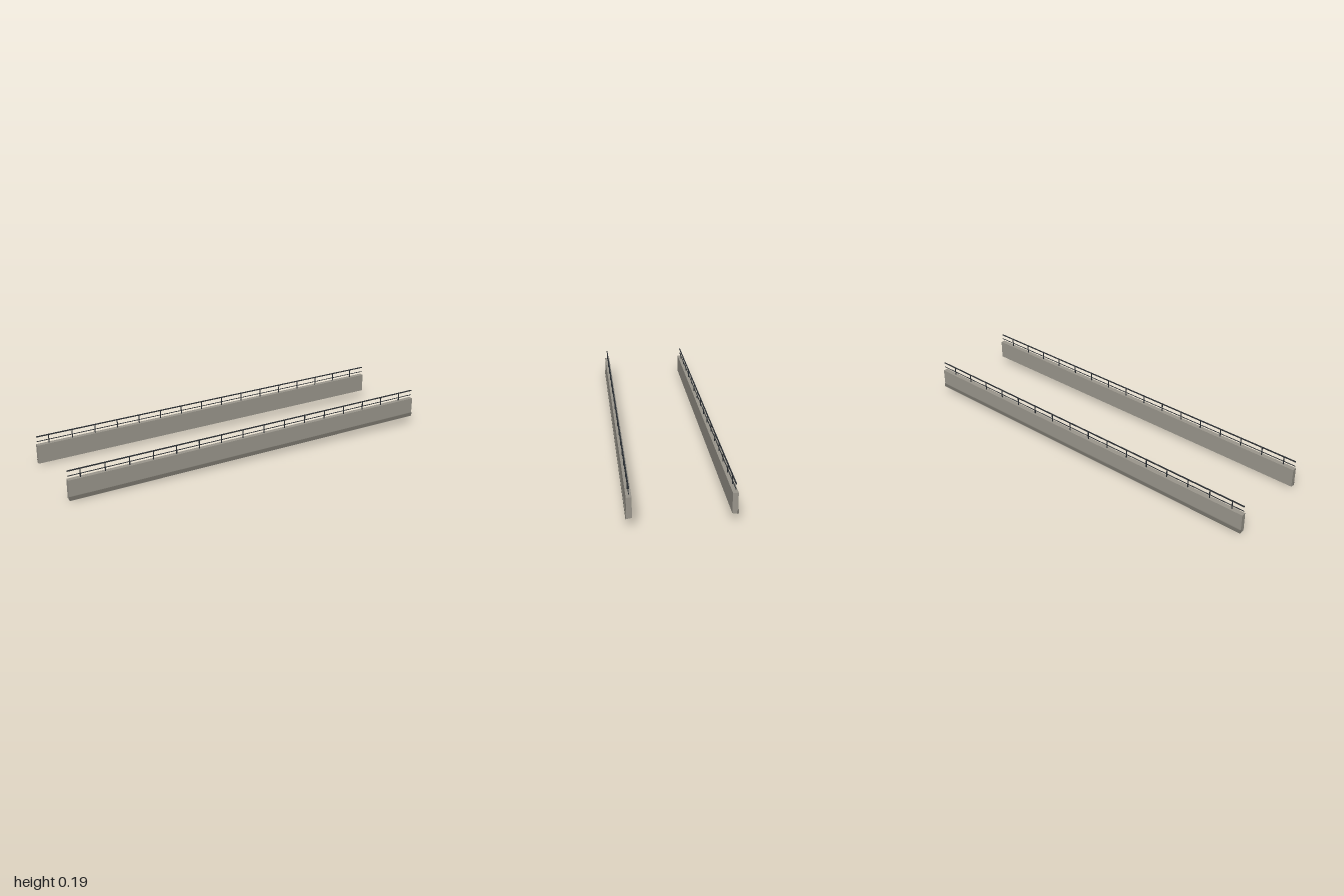
import * as THREE from 'three';

const concrete = new THREE.MeshStandardMaterial({ color: 0x9a968c });
const lipConcrete = new THREE.MeshStandardMaterial({ color: 0x7c7970 });
const steel = new THREE.MeshStandardMaterial({ color: 0x2c3034 });

const RUN_X = 1.878, RUN_Z = -0.498, RISE = 0.043;
const LENGTH = Math.hypot(RUN_X, RUN_Z);
const POSTS = 16;

// Local frame: x across the wall, y up, z along it; the slope is a vertical shear so ends stay upright.
function wallFrame(cx, cz) {
  const across = new THREE.Vector3(-RUN_Z, 0, RUN_X).divideScalar(LENGTH);
  const along = new THREE.Vector3(-RUN_X, -RISE, -RUN_Z).divideScalar(LENGTH);
  return new THREE.Matrix4()
    .makeBasis(across, new THREE.Vector3(0, 1, 0), along)
    .setPosition(cx, RISE / 2, cz);
}

// outward: +1 or -1, the side that carries the bottom lip
function createParapet(name, cx, cz, outward) {
  const group = new THREE.Group();
  group.name = name;
  const frame = wallFrame(cx, cz);

  const add = (geometry, material, partName) => {
    geometry.applyMatrix4(frame);
    const mesh = new THREE.Mesh(geometry, material);
    mesh.name = partName;
    group.add(mesh);
  };
  const extrude = (points) => {
    const shape = new THREE.Shape(points.map(([u, y]) => new THREE.Vector2(u * outward, y)));
    return new THREE.ExtrudeGeometry(shape, { depth: LENGTH, bevelEnabled: false })
      .translate(0, 0, -LENGTH / 2);
  };
  const bar = (width, height, length, y, z = 0) =>
    new THREE.BoxGeometry(width, height, length).translate(0, y, z);

  // Wall slab and the drip lip along its outer foot
  add(extrude([[-0.0125, 0.005], [0.012, 0.001], [0.012, 0.1], [-0.0125, 0.1]]), concrete, 'wall');
  add(extrude([[0.008, 0.0015], [0.0145, 0], [0.0155, 0.02], [0.008, 0.02]]), lipConcrete, 'dripLip');

  // Railing
  add(bar(0.005, 0.005, LENGTH, 0.142), steel, 'topRail');
  add(bar(0.003, 0.003, LENGTH, 0.117), steel, 'middleRail');
  for (let i = 0; i < POSTS; i++) {
    const t = 0.032 + i * 0.0616;
    add(bar(0.004, 0.044, 0.004, 0.12, (0.5 - t) * LENGTH), steel, 'railPost');
  }
  return group;
}

export function createModel() {
  const model = new THREE.Group();
  model.name = 'bridgeParapets';
  model.add(createParapet('frontParapet', 0.057, 0.216, 1));
  model.add(createParapet('backParapet', -0.057, -0.216, -1));
  return model;
}
